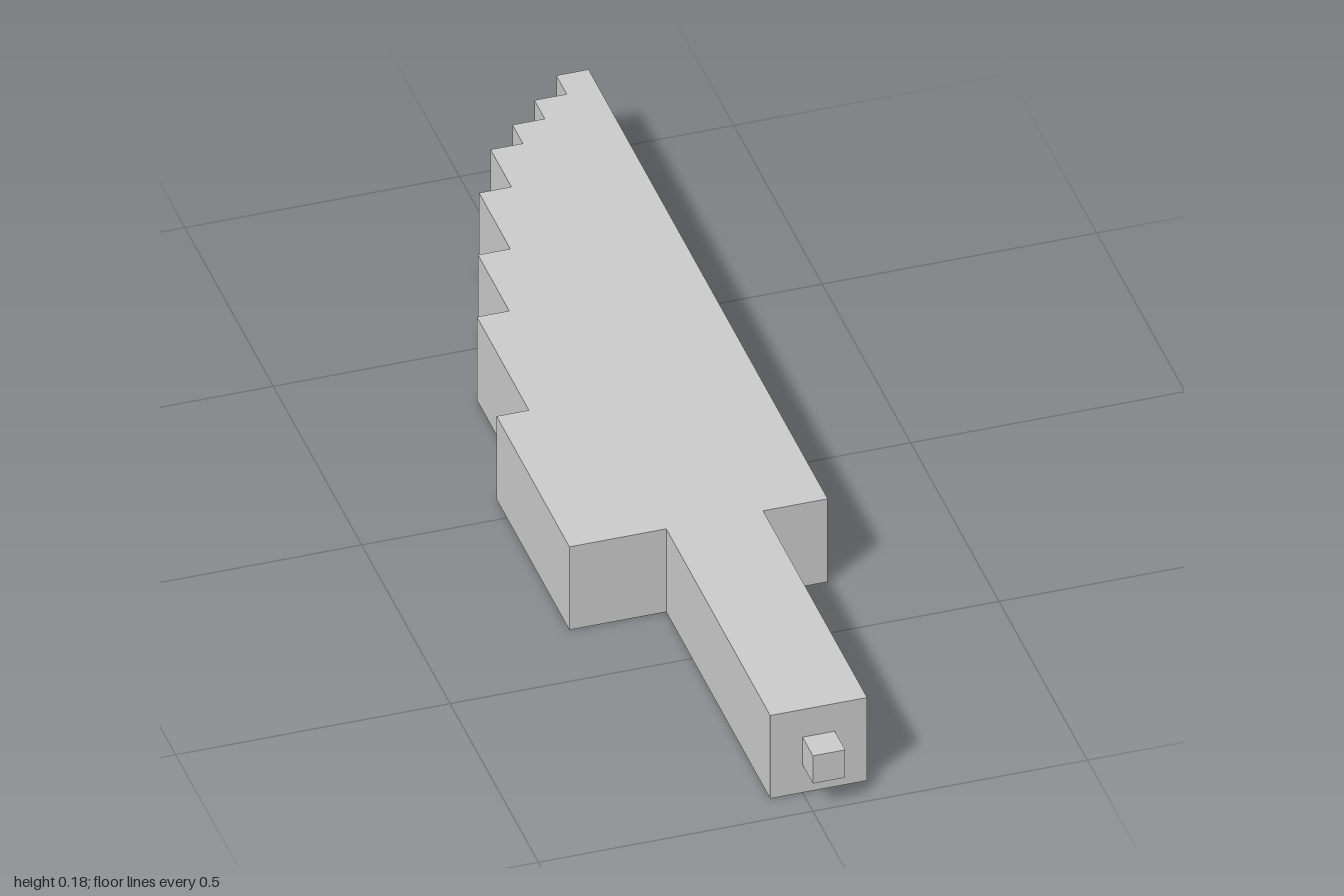
import * as THREE from 'three';

const U = 2 / 34; // one block of the grid the model is built on
const material = new THREE.MeshStandardMaterial({ color: 0xcccccc, flatShading: true });

// Box given by its low and high corners, in blocks
function block(name, [x0, y0, z0], [x1, y1, z1]) {
  const geometry = new THREE.BoxGeometry((x1 - x0) * U, (y1 - y0) * U, (z1 - z0) * U);
  geometry.translate((x0 + x1) * U / 2, (y0 + y1) * U / 2, (z0 + z1) * U / 2);
  const mesh = new THREE.Mesh(geometry, material);
  mesh.name = name;
  return mesh;
}

// Flat blade: straight on the left, stepping in towards the tip on the right
function blade() {
  const right = 4, base = 6, thickness = 3;
  const stepEnds = [-1, -6, -9, -12, -14, -15, -16, -17]; // z where each step ends
  const shape = new THREE.Shape();
  shape.moveTo(right * U, -base * U);
  shape.lineTo(right * U, 17 * U);
  for (let i = stepEnds.length - 1; i >= 0; i--) {
    const x = i - 4;
    const start = i > 0 ? stepEnds[i - 1] : base;
    shape.lineTo(x * U, -stepEnds[i] * U);
    shape.lineTo(x * U, -start * U);
  }
  shape.closePath();
  const geometry = new THREE.ExtrudeGeometry(shape, { depth: thickness * U, bevelEnabled: false });
  geometry.rotateX(-Math.PI / 2);
  const mesh = new THREE.Mesh(geometry, material);
  mesh.name = 'blade';
  return mesh;
}

export function createModel() {
  const model = new THREE.Group();
  model.name = 'steppedBlade';
  model.add(
    blade(),
    block('handle', [-1, 0, 6], [2, 3, 16]),
    block('handleStud', [0, 1, 16], [1, 2, 17])
  );
  return model;
}
